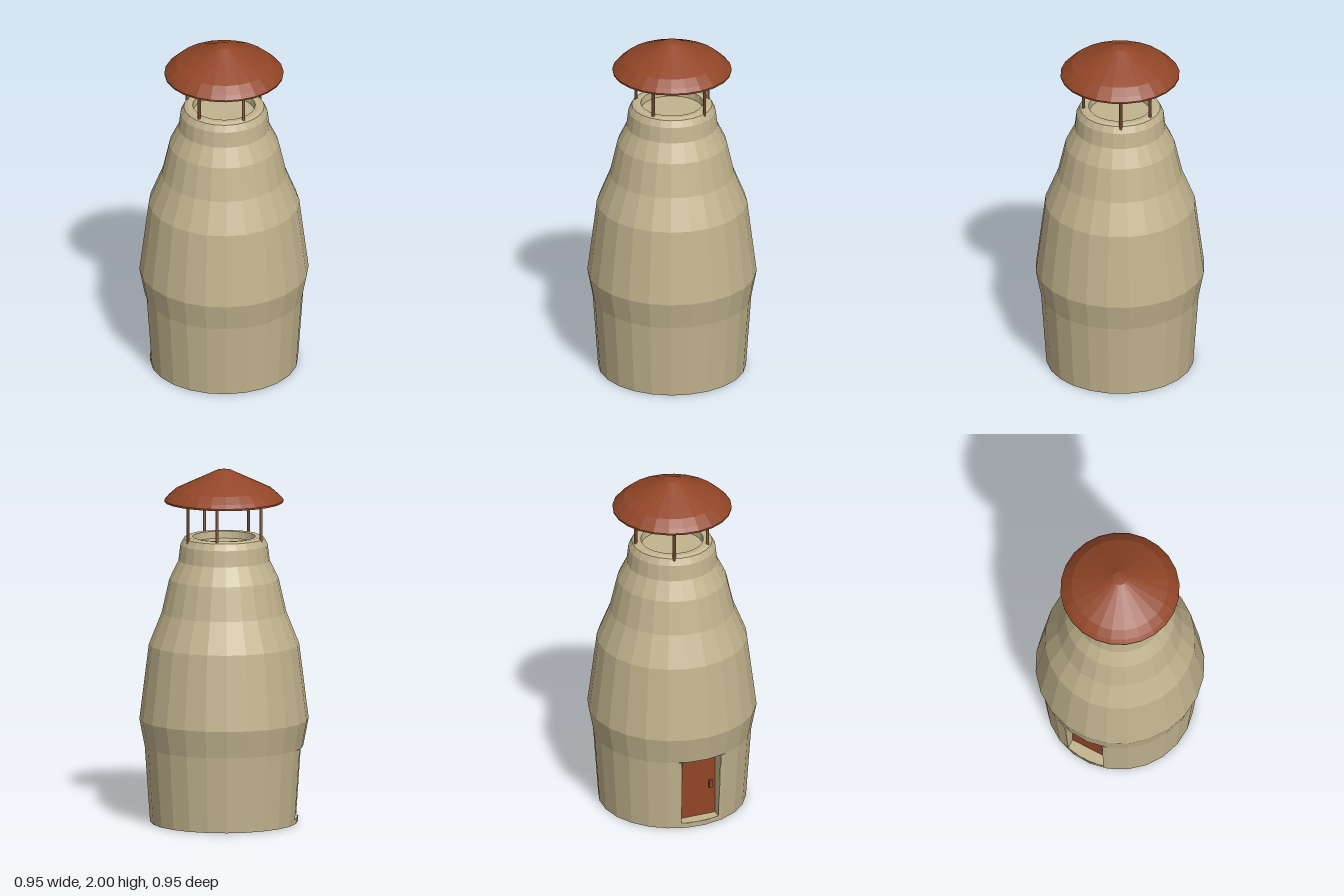
import * as THREE from 'three';

const rad = THREE.MathUtils.degToRad;
const plaster = new THREE.MeshStandardMaterial({ color: 0xc2b48e, flatShading: true, side: THREE.DoubleSide });
plaster.name = 'plaster';
const rust = new THREE.MeshStandardMaterial({ color: 0x924627, flatShading: true });
rust.name = 'rust';
const copper = new THREE.MeshStandardMaterial({ color: 0xb27a50, flatShading: true });
copper.name = 'copper';

function add(parent, name, geometry, material, x = 0, y = 0, z = 0) {
  const mesh = new THREE.Mesh(geometry, material);
  mesh.name = name;
  mesh.position.set(x, y, z);
  parent.add(mesh);
  return mesh;
}

// Faceted ring turned from [radius, height] pairs, between two angles in degrees
function turned(profile, segments = 24, from = 0, to = 360) {
  const points = profile.map(([r, y]) => new THREE.Vector2(r, y));
  return new THREE.LatheGeometry(points, segments, rad(from), rad(to - from));
}

export function createModel() {
  const model = new THREE.Group();
  model.name = 'tower';

  // Floor and the low strip under the doorway
  add(model, 'base', turned([[0, 0], [0.415, 0], [0.417, 0.03]]), plaster);

  // Lower wall, left open at the doorway
  const doorAngle = 236, halfGap = 15.5;
  const gapStart = doorAngle - halfGap, gapEnd = doorAngle + halfGap;
  const wall = [[0.417, 0.03], [0.445, 0.43]];
  for (const [segments, from, to] of [[1, gapEnd, 255], [21, 255, 570], [1, 210, gapStart]]) {
    add(model, 'lowerWall', turned(wall, segments, from, to), plaster);
  }

  // Bulging upper wall, rounded rim and sunken top
  add(model, 'upperWall', turned([
    [0.445, 0.43], [0.475, 0.585], [0.422, 1.01], [0.35, 1.19], [0.307, 1.38], [0.256, 1.485],
    [0.245, 1.575], [0.226, 1.612], [0.205, 1.622], [0.176, 1.62], [0.172, 1.58], [0, 1.58],
  ]), plaster);

  // Recessed doorway: sill, lintel, jambs, door and handle
  add(model, 'sill', turned([[0.414, 0.03], [0.3, 0.03]], 5, doorAngle - 20, doorAngle + 20), plaster);
  add(model, 'lintel', turned([[0.3, 0.43], [0.441, 0.43]], 5, doorAngle - 20, doorAngle + 20), plaster);
  const doorway = new THREE.Group();
  doorway.name = 'doorway';
  doorway.rotation.y = rad(doorAngle);
  model.add(doorway);
  const jamb = new THREE.Shape([[0.31, 0.03], [0.401, 0.03], [0.429, 0.43], [0.31, 0.43]]
    .map(([z, y]) => new THREE.Vector2(z, y)));
  for (const side of [-1, 1]) {
    add(doorway, 'jamb', new THREE.ShapeGeometry(jamb), plaster, side * 0.115).rotation.y = -Math.PI / 2;
  }
  add(doorway, 'door', new THREE.BoxGeometry(0.23, 0.4, 0.02), rust, 0, 0.23, 0.335);
  add(doorway, 'handle', new THREE.BoxGeometry(0.02, 0.045, 0.02), rust, 0.085, 0.22, 0.352);

  // Five posts carrying the roof
  for (const [x, z] of [[0, 0.206], [0.225, 0.02], [0.143, -0.153], [-0.132, -0.18], [-0.2, 0.058]]) {
    add(model, 'post', new THREE.CylinderGeometry(0.009, 0.009, 0.31, 8), copper, x, 1.745, z);
  }

  // Domed roof with a hollow underside
  add(model, 'roof', turned([
    [0, 1.9], [0.19, 1.885], [0.265, 1.86], [0.322, 1.818], [0.334, 1.818], [0.335, 1.828],
    [0.315, 1.85], [0.272, 1.888], [0.2, 1.922], [0.135, 1.952], [0.04, 1.997], [0, 2],
  ]), rust);

  return model;
}
